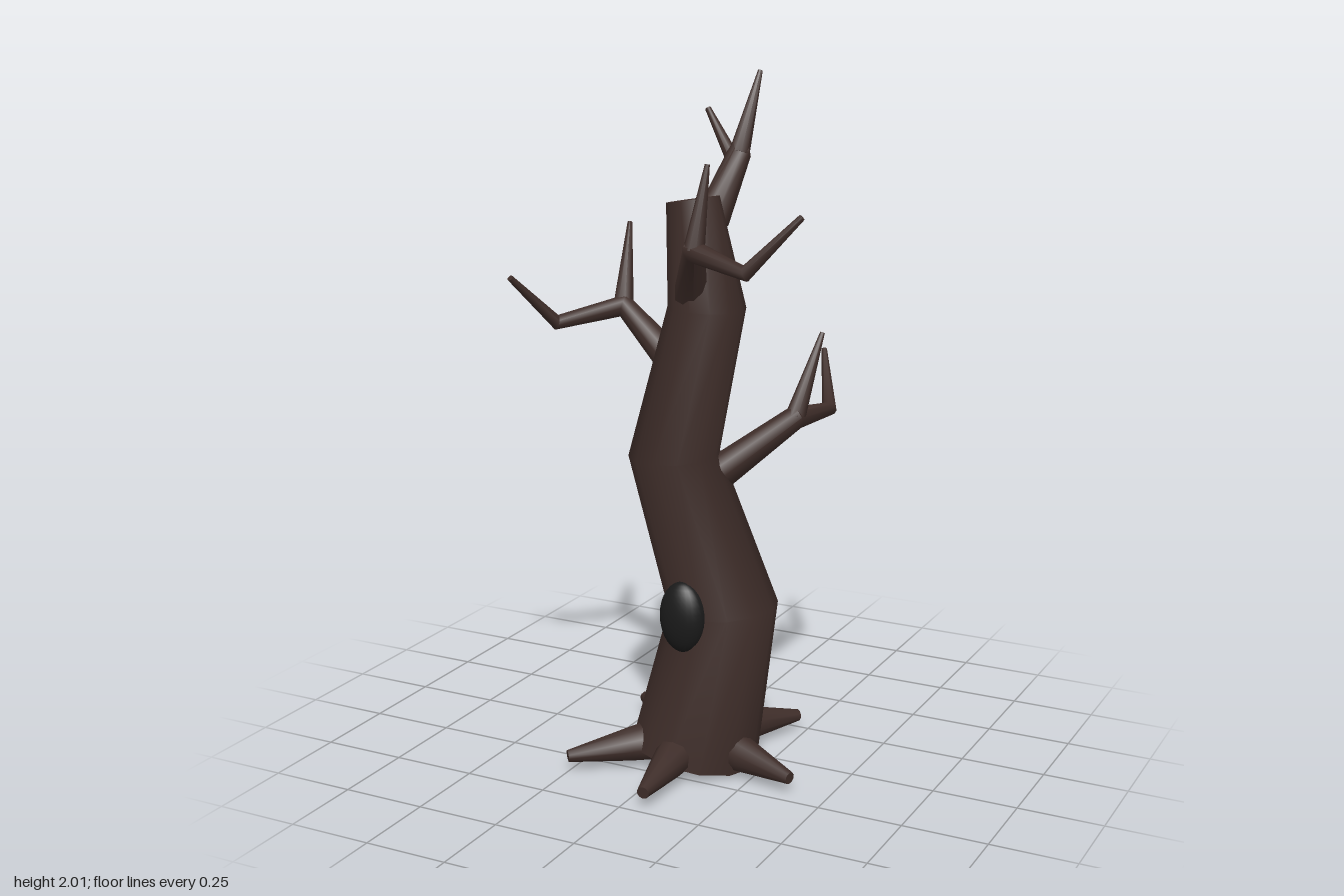
import * as THREE from 'three';
import { toCreasedNormals } from 'three/addons/utils/BufferGeometryUtils.js';

const bark = new THREE.MeshStandardMaterial({ color: 0x3e2d29 });
const dark = new THREE.MeshStandardMaterial({ color: 0x1a1a1a });

// Capped limb through [x, y, z, radius] points, with a mitred ring at each bend
function limb(name, points, sides) {
  const n = points.length - 1;
  const centres = points.map(p => new THREE.Vector3(p[0], p[1], p[2]));
  const dir = i => centres[i + 1].clone().sub(centres[i]).normalize();
  const turn = new THREE.Quaternion();
  let last = new THREE.Vector3(0, 1, 0);
  const frames = centres.map((c, i) => {
    const t = dir(Math.max(i - 1, 0)).add(dir(Math.min(i, n - 1))).normalize();
    turn.premultiply(new THREE.Quaternion().setFromUnitVectors(last, t));
    last = t;
    return turn.clone();
  });
  const geo = new THREE.CylinderGeometry(1, 1, 1, sides, n);
  const pos = geo.attributes.position;
  const v = new THREE.Vector3();
  for (let k = 0; k < pos.count; k++) {
    v.fromBufferAttribute(pos, k);
    const i = Math.round((v.y + 0.5) * n);
    v.y = 0;
    v.multiplyScalar(points[i][3]).applyQuaternion(frames[i]).add(centres[i]);
    pos.setXYZ(k, v.x, v.y, v.z);
  }
  const mesh = new THREE.Mesh(toCreasedNormals(geo, 1.05), bark);
  mesh.name = name;
  return mesh;
}

// Branch: thick arm bending at the elbow to a long tip, plus an upright twig
function branch(name, base, elbow, mid, tip, twig) {
  const g = new THREE.Group();
  g.name = name;
  g.add(
    limb('arm', [[...base, 0.05], [...elbow, 0.034], [...mid, 0.022], [...tip, 0.009]], 10),
    limb('twig', [[...elbow, 0.03], [...twig, 0.007]], 10)
  );
  return g;
}

export function createModel() {
  const tree = new THREE.Group();
  tree.name = 'deadTree';

  // Crooked trunk
  tree.add(limb('trunk', [
    [0.035, 0.03, 0.095, 0.188],
    [0.115, 0.48, 0.072, 0.16],
    [-0.03, 0.93, 0.1, 0.132],
    [0.085, 1.37, 0.12, 0.11],
    [0.035, 1.665, 0.108, 0.075],
  ], 12));

  // Roots spreading over the ground
  const tips = [[0.39, 0.2], [0.063, 0.475], [-0.252, 0.353], [-0.265, -0.15], [0.222, -0.232]];
  for (const [x, z] of tips) {
    const d = new THREE.Vector2(x - 0.035, z - 0.095).normalize();
    tree.add(limb('root', [
      [0.035 + d.x * 0.1, 0.07, 0.095 + d.y * 0.1, 0.064],
      [0.035 + d.x * 0.2, 0.06, 0.095 + d.y * 0.2, 0.05],
      [x, 0.043, z, 0.018],
    ], 10));
  }

  // Branches: base, elbow, mid, tip, twig tip
  tree.add(
    branch('rightBranch', [-0.03, 1.17, 0.07], [-0.22, 1.335, 0.05],
      [-0.38, 1.29, 0.16], [-0.433, 1.44, 0.32], [-0.26, 1.56, -0.065]),
    branch('leftBranch', [0.1, 0.88, 0.05], [0.275, 1.03, -0.065],
      [0.28, 1.005, -0.305], [0.19, 1.145, -0.47], [0.305, 1.26, -0.185]),
    branch('frontBranch', [0.06, 1.4, 0.17], [0.125, 1.55, 0.28],
      [0.3, 1.51, 0.325], [0.433, 1.66, 0.26], [0.143, 1.78, 0.235]),
    branch('topBranch', [0.055, 1.6, 0.03], [0.088, 1.775, -0.075],
      [0.01, 1.735, -0.205], [-0.1, 1.88, -0.255], [0.1, 2.0, -0.187])
  );

  // Dark knot hole on the front
  const hole = new THREE.Mesh(new THREE.SphereGeometry(1, 24, 16), dark);
  hole.name = 'knotHole';
  hole.scale.set(0.07, 0.105, 0.045);
  hole.position.set(0.062, 0.485, 0.228);
  tree.add(hole);

  return tree;
}
